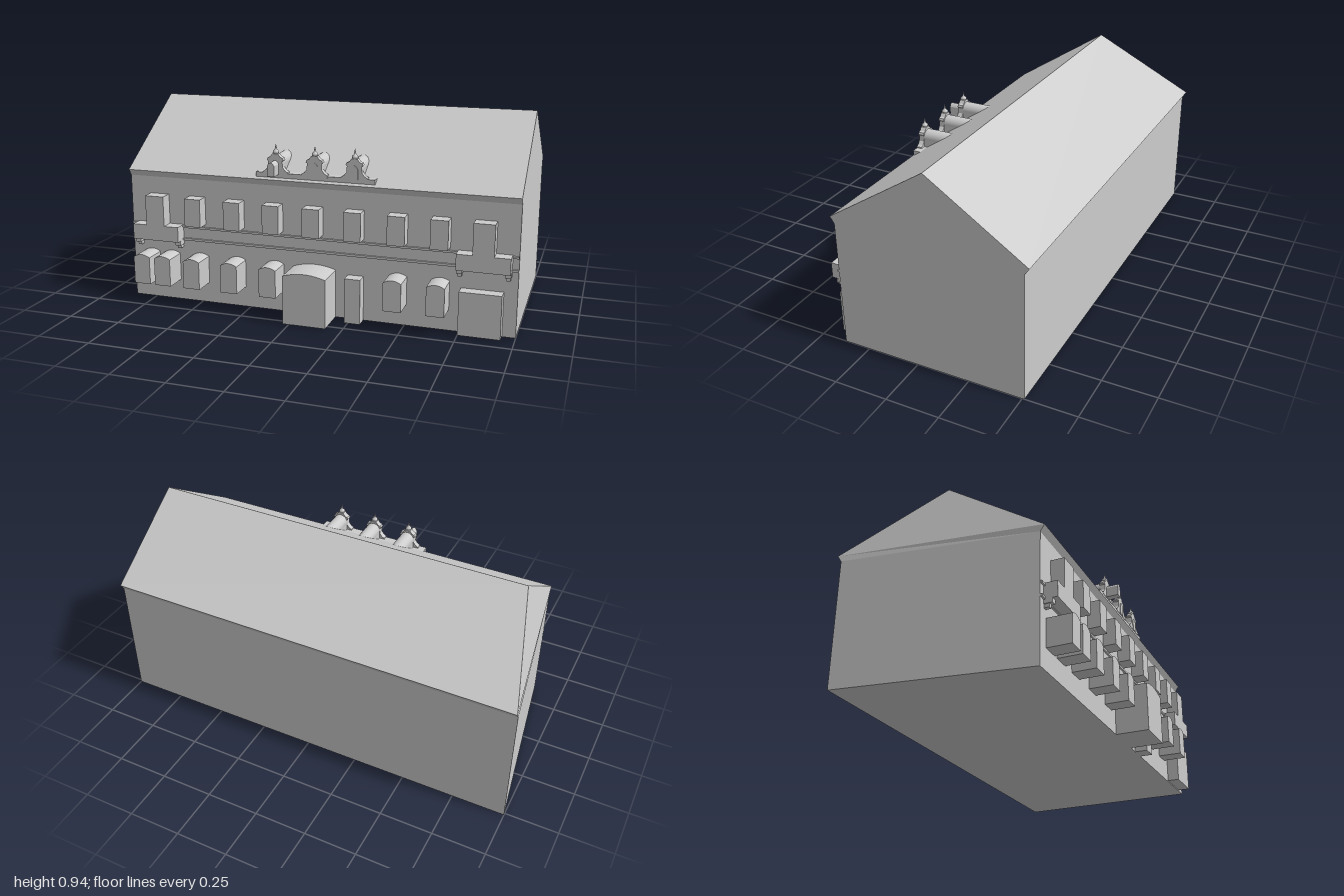
import * as THREE from 'three';

const stone = new THREE.MeshStandardMaterial({ color: 0xcccccc });
stone.name = 'pale grey';

export function createModel() {
  const model = new THREE.Group();
  model.name = 'longHouse';

  const add = (name, geometry, parent = model) => {
    const mesh = new THREE.Mesh(geometry, stone);
    mesh.name = name;
    parent.add(mesh);
    return mesh;
  };
  // Box given by its limits on each axis
  const box = (name, x0, x1, y0, y1, z0, z1, parent) => {
    const mesh = add(name, new THREE.BoxGeometry(x1 - x0, y1 - y0, z1 - z0), parent);
    mesh.position.set((x0 + x1) / 2, (y0 + y1) / 2, (z0 + z1) / 2);
    return mesh;
  };
  const extrude = (name, shape, z0, z1, parent) => {
    const geometry = new THREE.ExtrudeGeometry(shape, { depth: z1 - z0, bevelEnabled: false, curveSegments: 10 });
    geometry.translate(0, 0, z0);
    return add(name, geometry, parent);
  };
  // Block with a shallow arched top
  const archBlock = (name, x, w, y0, spring, crown, z0, z1, parent) => {
    const s = new THREE.Shape();
    s.moveTo(x - w / 2, y0);
    s.lineTo(x + w / 2, y0);
    s.lineTo(x + w / 2, spring);
    s.quadraticCurveTo(x, 2 * crown - spring, x - w / 2, spring);
    s.closePath();
    return extrude(name, s, z0, z1, parent);
  };

  // Body and roof: one section [z, y, left x] swept to x = 1, left end skewed
  const section = [
    [0.375, 0, -0.86], [0.375, 0.605, -0.86], [0.395, 0.635, -0.86], [-0.07, 0.94, -0.86],
    [-0.53, 0.635, -1], [-0.51, 0.605, -1], [-0.51, 0, -1],
  ];
  const L = section.map(([z, y, x]) => [x, y, z]);
  const R = section.map(([z, y]) => [1, y, z]);
  const positions = [];
  const tri = (a, b, c) => positions.push(...a, ...b, ...c);
  for (let i = 0; i < section.length; i++) {
    const j = (i + 1) % section.length;
    tri(L[i], R[i], R[j]);
    tri(L[i], R[j], L[j]);
  }
  for (const [a, b, c] of [[2, 3, 4], [1, 2, 4], [1, 4, 5], [0, 1, 5], [0, 5, 6]]) {
    tri(L[a], L[b], L[c]);
    tri(R[a], R[c], R[b]);
  }
  const bodyGeometry = new THREE.BufferGeometry();
  bodyGeometry.setAttribute('position', new THREE.Float32BufferAttribute(positions, 3));
  bodyGeometry.computeVertexNormals();
  add('bodyAndRoof', bodyGeometry);

  // Ground floor windows and doors
  for (const x of [-0.762, -0.655, -0.504, -0.313, -0.121, 0.467, 0.66]) {
    archBlock('lowerWindow', x, 0.082, 0.1, 0.232, 0.245, 0.365, 0.488);
  }
  archBlock('mainDoor', 0.072, 0.203, 0, 0.229, 0.246, 0.365, 0.532);
  box('narrowDoor', 0.233, 0.307, 0, 0.212, 0.365, 0.434);
  box('wideDoor', 0.752, 0.94, 0.005, 0.207, 0.365, 0.432);

  // Upper windows
  for (const x of [-0.513, -0.315, -0.122, 0.072, 0.267, 0.467, 0.66]) {
    box('upperWindow', x - 0.04, x + 0.04, 0.389, 0.523, 0.365, 0.437);
  }

  // Moulding courses between the floors
  box('lowerMoulding', -0.859, 0.999, 0.303, 0.314, 0.365, 0.384);
  box('upperMoulding', -0.859, 0.999, 0.365, 0.375, 0.365, 0.384);

  // Balconies with tall openings and stepped corbels
  for (const x of [-0.709, 0.853]) {
    const balcony = new THREE.Group();
    balcony.name = 'balcony';
    balcony.position.x = x;
    model.add(balcony);
    box('balconyFront', -0.118, 0.118, 0.305, 0.379, 0.365, 0.437, balcony);
    box('balconyOpening', -0.047, 0.047, 0.379, 0.523, 0.365, 0.437, balcony);
    for (const s of [-1, 1]) {
      const c = s * 0.106;
      box('corbelUpper', c - 0.013, c + 0.013, 0.284, 0.305, 0.365, 0.415, balcony);
      box('corbelLower', c - 0.009, c + 0.009, 0.267, 0.284, 0.365, 0.4, balcony);
    }
  }

  // Roof parapet with three small gabled dormers
  box('parapet', -0.208, 0.358, 0.645, 0.667, 0.335, 0.385);
  const half = [
    [0.062, 0.66], [0.06, 0.672], [0.047, 0.68], [0.036, 0.694], [0.034, 0.722],
    [0.04, 0.727], [0.036, 0.737], [0.024, 0.742], [0.014, 0.756],
  ];
  const outline = [...half, ...half.map(([x, y]) => [-x, y]).reverse()];
  const gableShape = new THREE.Shape(outline.map(([x, y]) => new THREE.Vector2(x, y)));
  const spireProfile = [
    [0, 0.75], [0.01, 0.75], [0.01, 0.757], [0.015, 0.76], [0.014, 0.768],
    [0.006, 0.774], [0.004, 0.784], [0, 0.802],
  ].map(([r, y]) => new THREE.Vector2(r, y));

  [-0.112, 0.075, 0.262].forEach((x, i) => {
    const dormer = new THREE.Group();
    dormer.name = 'dormer';
    dormer.position.x = x;
    model.add(dormer);
    extrude('dormerGable', gableShape, 0.36, 0.387, dormer);
    archBlock('dormerWindow', 0, 0.034, 0.662, 0.71, 0.726, 0.37, i === 0 ? 0.445 : 0.39, dormer);
    // Barrel roof running back into the slope
    box('dormerBody', -0.034, 0.034, 0.64, 0.71, 0.25, 0.365, dormer);
    const barrel = add('dormerBarrel', new THREE.CylinderGeometry(0.035, 0.035, 0.165, 20), dormer);
    barrel.rotation.x = Math.PI / 2;
    barrel.position.set(0, 0.71, 0.2825);
    const spire = add('spire', new THREE.LatheGeometry(spireProfile, 12), dormer);
    spire.position.z = 0.374;
  });

  return model;
}
